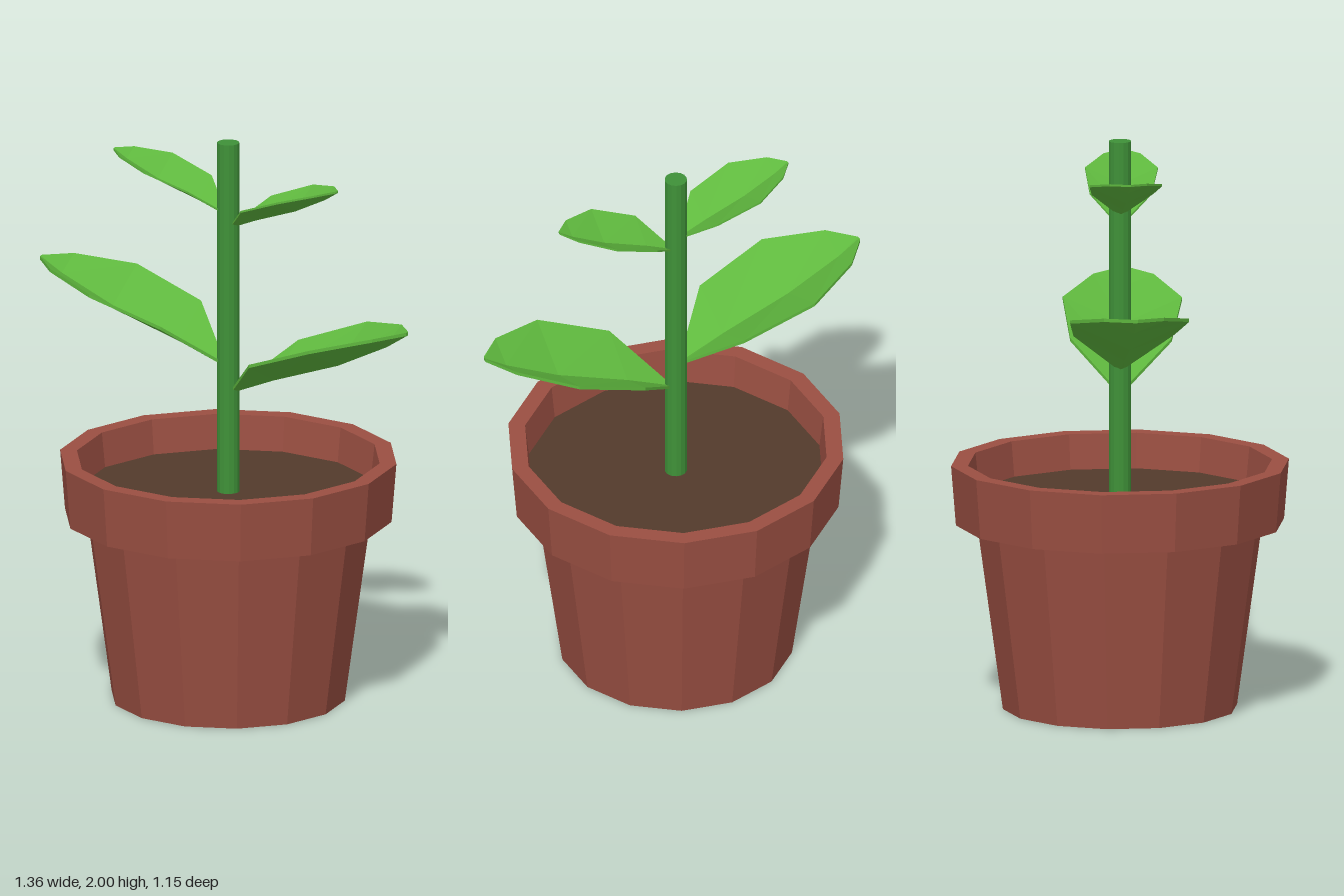
import * as THREE from 'three';

const SIDES = 14;
const AXIS_X = 0.0075; // the stem and pot axis

const mat = (name, color, extra = {}) => {
  const m = new THREE.MeshStandardMaterial({ color, flatShading: true, ...extra });
  m.name = name;
  return m;
};

// Folded leaf along +x: closed six-point rings from root to tip
function leafGeometry() {
  const thick = 0.012;
  // distance from stem, half width, midrib height, edge height
  const stations = [
    [0.022, 0.012, 0, 0.005],
    [0.18, 0.176, 0.065, 0.155],
    [0.436, 0.207, 0.155, 0.25],
    [0.63, 0.105, 0.25, 0.293],
    [0.71, 0.008, 0.302, 0.303],
  ];
  const verts = [];
  const index = [];
  for (const [x, w, mid, edge] of stations) {
    verts.push(x, edge + thick, -w, x, mid + thick, 0, x, edge + thick, w);
    verts.push(x, edge, w, x, mid, 0, x, edge, -w);
  }
  const last = stations.length - 1;
  for (let i = 0; i < last; i++) {
    for (let j = 0; j < 6; j++) {
      const a = i * 6 + j, b = i * 6 + ((j + 1) % 6);
      index.push(a, b, a + 6, b, b + 6, a + 6);
    }
  }
  // end caps
  for (const [p, q, r, s] of [[0, 1, 4, 5], [1, 2, 3, 4]]) {
    const t = last * 6;
    index.push(t + p, t + q, t + r, t + p, t + r, t + s);
    index.push(p, r, q, p, s, r);
  }
  const geo = new THREE.BufferGeometry();
  geo.setAttribute('position', new THREE.Float32BufferAttribute(verts, 3));
  geo.setIndex(index);
  const flat = geo.toNonIndexed();
  flat.computeVertexNormals();
  return flat;
}

export function createModel() {
  const model = new THREE.Group();
  model.name = 'pottedPlant';

  const clay = mat('terracotta', 0x9a4f42);
  const soilMat = mat('soil', 0x533a2b);
  const stemMat = mat('stemGreen', 0x3f9138);
  const leafMat = mat('leafGreen', 0x5fb83e);

  const add = (name, geo, material, y = 0) => {
    const mesh = new THREE.Mesh(geo, material);
    mesh.name = name;
    mesh.position.set(AXIS_X, y, 0);
    model.add(mesh);
    return mesh;
  };

  // Pot: base, tapered wall, overhanging rim and inner wall
  const profile = [
    [0, 0], [0.409, 0], [0.497, 0.643], [0.573, 0.653],
    [0.59, 0.863], [0.531, 0.863], [0.517, 0.735],
  ].map(([r, y]) => new THREE.Vector2(r, y));
  const pot = new THREE.LatheGeometry(profile, SIDES).rotateY(Math.PI / 2);
  add('pot', pot, clay);

  // Soil disc
  const soil = new THREE.CylinderGeometry(0.518, 0.514, 0.03, SIDES).rotateY(Math.PI / 2);
  add('soil', soil, soilMat, 0.725);

  // Stem
  const stem = new THREE.CylinderGeometry(0.039, 0.039, 1.28, SIDES).rotateY(Math.PI / 2);
  add('stem', stem, stemMat, 1.36);

  // Two pairs of leaves: height, heading in degrees, size
  const leaf = leafGeometry();
  [
    ['lowerLeftLeaf', 1.1, -20.5, 1],
    ['lowerRightLeaf', 1.193, 165, 1],
    ['upperLeftLeaf', 1.694, -20.5, 0.61],
    ['upperRightLeaf', 1.738, 165, 0.61],
  ].forEach(([name, y, heading, size]) => {
    const mesh = add(name, leaf, leafMat, y);
    mesh.rotation.y = THREE.MathUtils.degToRad(heading);
    mesh.scale.setScalar(size);
  });

  return model;
}
